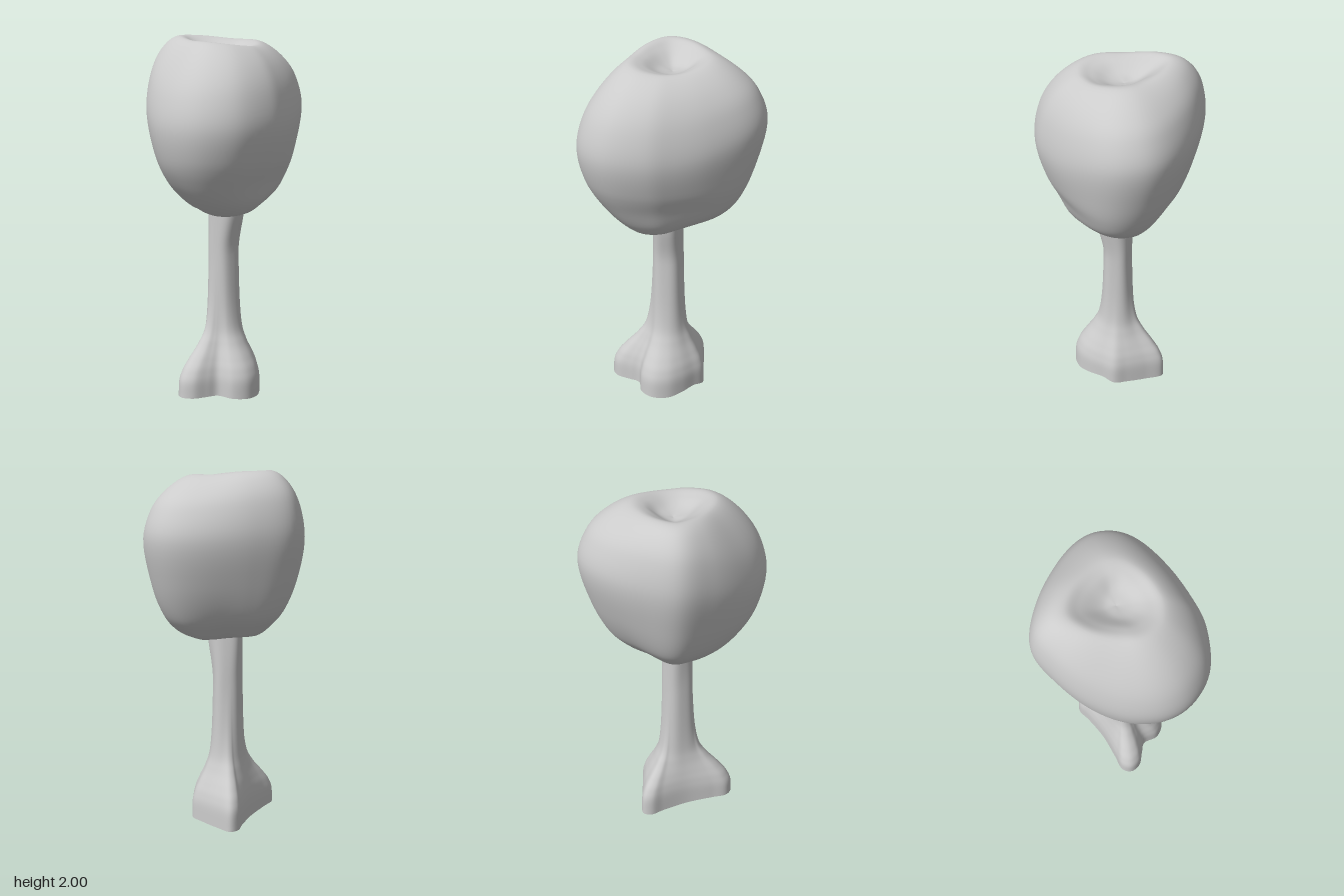
import * as THREE from 'three';

const { clamp, smoothstep } = THREE.MathUtils;
const material = new THREE.MeshStandardMaterial({ color: 0xcccccc, roughness: 0.9 });
const openMaterial = material.clone();
openMaterial.side = THREE.DoubleSide;

// Closed smooth outline through [x, z, height], sampled into n points from +x towards +z
function outline(points, n) {
  const curve = new THREE.CatmullRomCurve3(
    points.map(([x, z, y = 0]) => new THREE.Vector3(x, y, z)), true, 'centripetal');
  return curve.getSpacedPoints(n).slice(0, n);
}

// Curve through [a, b] pairs
const curve2 = (pairs) => new THREE.CatmullRomCurve3(
  pairs.map(([a, b]) => new THREE.Vector3(a, b, 0)), false, 'centripetal');

// Smooth skin over rings; point(i, t) gives the vertex at step i around and share t upwards
function skin(name, around, rings, point, skinMaterial) {
  const positions = [], index = [];
  for (let j = 0; j < rings; j++) {
    for (let i = 0; i < around; i++) {
      positions.push(...point(i, j / (rings - 1)));
      if (j === rings - 1) continue;
      const a = j * around + i, b = j * around + (i + 1) % around;
      index.push(a, a + around, b, b, a + around, b + around);
    }
  }
  const geometry = new THREE.BufferGeometry();
  geometry.setAttribute('position', new THREE.Float32BufferAttribute(positions, 3));
  geometry.setIndex(index);
  geometry.computeVertexNormals();
  const mesh = new THREE.Mesh(geometry, skinMaterial);
  mesh.name = name;
  return mesh;
}

// Rounded three-cornered crown, dimpled above and hollowed around the trunk
function makeCrown() {
  const n = 96;
  const rim = outline([
    [0.51, 0.03], [0.48, 0.15], [0.4, 0.25], [0.2, 0.37], [0, 0.435], [-0.13, 0.453],
    [-0.35, 0.4], [-0.475, 0.27], [-0.51, 0.13], [-0.47, -0.05], [-0.35, -0.24],
    [-0.2, -0.375], [-0.03, -0.455], [0.18, -0.375], [0.4, -0.2], [0.49, -0.07],
  ], n);
  // Profiles [share of rim, height] from the lower hollow to the upper dimple
  const left = curve2([[0, 1.2], [0.2, 1.17], [0.28, 1.1], [0.4, 1.075], [0.58, 1.13], [0.72, 1.21],
    [0.89, 1.4], [1, 1.65], [0.9, 1.8], [0.72, 1.9], [0.45, 1.975], [0.3, 1.965], [0.15, 1.915], [0, 1.895]]);
  const right = curve2([[0, 1.2], [0.2, 1.17], [0.25, 1.09], [0.36, 1.055], [0.58, 1.11], [0.78, 1.21],
    [0.93, 1.34], [1, 1.52], [0.93, 1.68], [0.74, 1.84], [0.47, 1.965], [0.32, 1.96], [0.16, 1.915], [0, 1.895]]);
  const front = curve2([[0, 1.2], [0.2, 1.17], [0.38, 1.095], [0.52, 1.06], [0.66, 1.115], [0.77, 1.22],
    [0.9, 1.34], [1, 1.53], [0.94, 1.71], [0.78, 1.85], [0.52, 1.942], [0.35, 1.93], [0.17, 1.905], [0, 1.895]]);
  const back = curve2([[0, 1.2], [0.2, 1.17], [0.26, 1.11], [0.4, 1.09], [0.55, 1.14], [0.72, 1.23],
    [0.88, 1.42], [1, 1.68], [0.94, 1.86], [0.78, 1.965], [0.58, 2.0], [0.4, 1.965], [0.15, 1.905], [0, 1.895]]);

  return skin('crown', n, 80, (i, t) => {
    const { x, z } = rim[i];
    const r = Math.hypot(x, z), nx = x / r, nz = z / r;
    const p = (z > 0 ? front : back).getPoint(t)
      .lerp((x > 0 ? left : right).getPoint(t), nx * nx);
    // Fuller towards the front left, slimmer towards the back left
    const swell = Math.max(nx, 0) * nx * nz * p.x * (1 - p.x) * (2 - p.y);
    const s = Math.max(p.x + swell, 0.001);
    // Lower edge sags at the front right and lifts at the front left
    const lift = 0.06 * nx * Math.max(nz, 0) * clamp((1.3 - p.y) / 0.25, 0, 1);
    return [x * s, p.y + lift, z * s];
  }, material);
}

// Slim trunk that flares into lobed roots, open underneath with a wavy hem
function makeTrunk() {
  const n = 128, cx = -0.025, cz = 0.03;
  const foot = outline([
    [0.185, 0.03, 0.005], [0.18, 0.11, 0.01], [0.125, 0.165, 0.025], [0.06, 0.225, 0.018],
    [-0.02, 0.27, 0.008], [-0.11, 0.272, 0.01], [-0.175, 0.22, 0.015], [-0.195, 0.13, 0.02],
    [-0.25, 0.1, 0.02], [-0.325, 0.06, 0.02], [-0.35, 0, 0.02], [-0.32, -0.05, 0.02],
    [-0.23, -0.07, 0.015], [-0.08, -0.105, 0.005], [0.06, -0.165], [0.13, -0.203],
    [0.18, -0.19], [0.185, -0.08],
  ], n);
  const angles = foot.map((p) => Math.atan2(p.z - cz, p.x - cx));
  // [height, share of foot outline]
  const flare = curve2([[0, 1], [0.1, 0.98], [0.16, 0.88], [0.22, 0.68], [0.3, 0.38],
    [0.38, 0.18], [0.5, 0.08], [0.7, 0.02], [0.9, 0], [1.22, 0]]);

  return skin('trunkAndRoots', n, 60, (i, t) => {
    const { x: height, y: spread } = flare.getPoint(t);
    const a = angles[i], lean = smoothstep(height, 0.8, 1.1);
    const flute = 1 + 0.03 * Math.cos(5 * a + 0.6);
    const x = cx + 0.086 * flute * Math.cos(a);
    const z = cz + 0.02 * lean + (0.08 + 0.03 * lean) * flute * Math.sin(a);
    const hem = Math.max(0, foot[i].y) * (1 - smoothstep(height, 0, 0.15));
    return [x + (foot[i].x - x) * spread, height + hem, z + (foot[i].z - z) * spread];
  }, openMaterial);
}

export function createModel() {
  const tree = new THREE.Group();
  tree.name = 'tree';
  tree.add(makeTrunk(), makeCrown());
  return tree;
}
